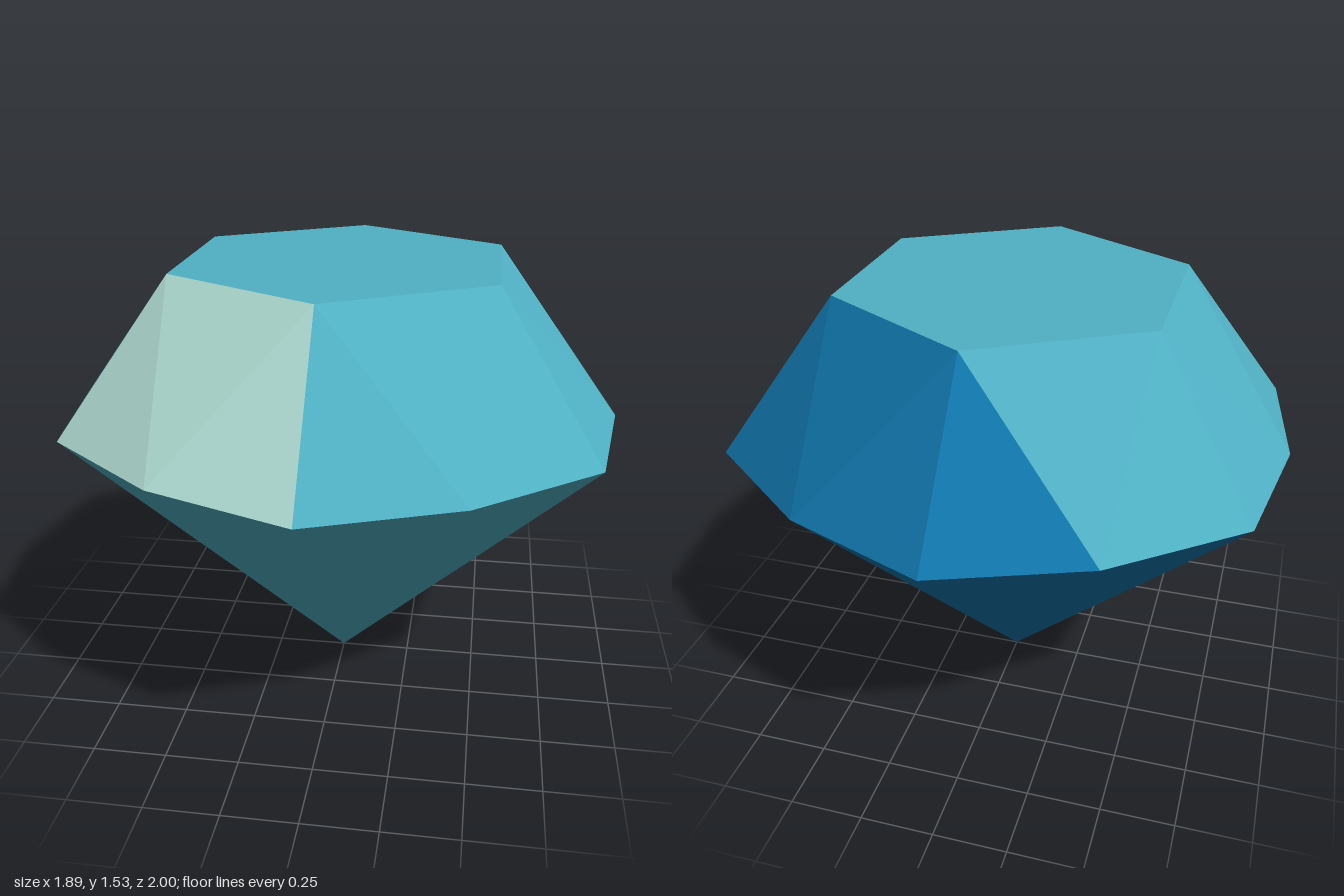
import * as THREE from 'three';

const TABLE_Y = 1.53, GIRDLE_Y = 1.017;

// point on a ring; the angle in degrees runs from the front (+z) towards +x
function ringPoint(radius, degrees, y) {
  const a = THREE.MathUtils.degToRad(degrees);
  return new THREE.Vector3(radius * Math.sin(a), y, radius * Math.cos(a));
}

// flat-faceted mesh from a list of triangles
function facetMesh(name, triangles, material) {
  const geometry = new THREE.BufferGeometry().setFromPoints(triangles.flat());
  geometry.computeVertexNormals();
  const mesh = new THREE.Mesh(geometry, material);
  mesh.name = name;
  return mesh;
}

function flatColor(name, color) {
  const material = new THREE.MeshStandardMaterial({ color });
  material.name = name;
  return material;
}

export function createModel() {
  const teal = flatColor('teal', 0x50b1c5);
  const blue = flatColor('blue', 0x1177ad);
  const mint = flatColor('mint', 0xb5e3d9);

  // six table corners, and a girdle of twelve points with alternating radius
  const table = (i) => ringPoint(0.605, i * 60, TABLE_Y);
  const girdle = (j) => ringPoint(j % 2 ? 0.944 : 1, j * 30, GIRDLE_Y);
  const tip = new THREE.Vector3(0, 0, 0);
  const centre = new THREE.Vector3(0, TABLE_Y, 0);

  const top = [];
  const crown = { teal: [], blue: [], mint: [] };
  const pavilion = { teal: [], blue: [] };

  for (let i = 0; i < 6; i++) {
    const a = table(i), b = table(i + 1);
    const left = girdle(2 * i), mid = girdle(2 * i + 1), right = girdle(2 * i + 2);
    top.push([centre, a, b]);

    // each crown side: a left, a middle and a right facet
    const side = i === 5 ? 'mint' : i === 2 ? 'blue' : 'teal';
    crown[i === 3 ? 'blue' : side].push([a, left, mid]);
    crown[side].push([a, mid, b]);
    crown[i === 1 ? 'blue' : side].push([b, mid, right]);
  }

  // lower cone: the back half is blue
  for (let j = 0; j < 12; j++) {
    pavilion[j >= 3 && j < 9 ? 'blue' : 'teal'].push([girdle(j), tip, girdle(j + 1)]);
  }

  const gem = new THREE.Group();
  gem.name = 'gem';
  gem.add(
    facetMesh('table', top, teal),
    facetMesh('crownTeal', crown.teal, teal),
    facetMesh('crownBlue', crown.blue, blue),
    facetMesh('crownMint', crown.mint, mint),
    facetMesh('pavilionFront', pavilion.teal, teal),
    facetMesh('pavilionBack', pavilion.blue, blue),
  );
  return gem;
}
